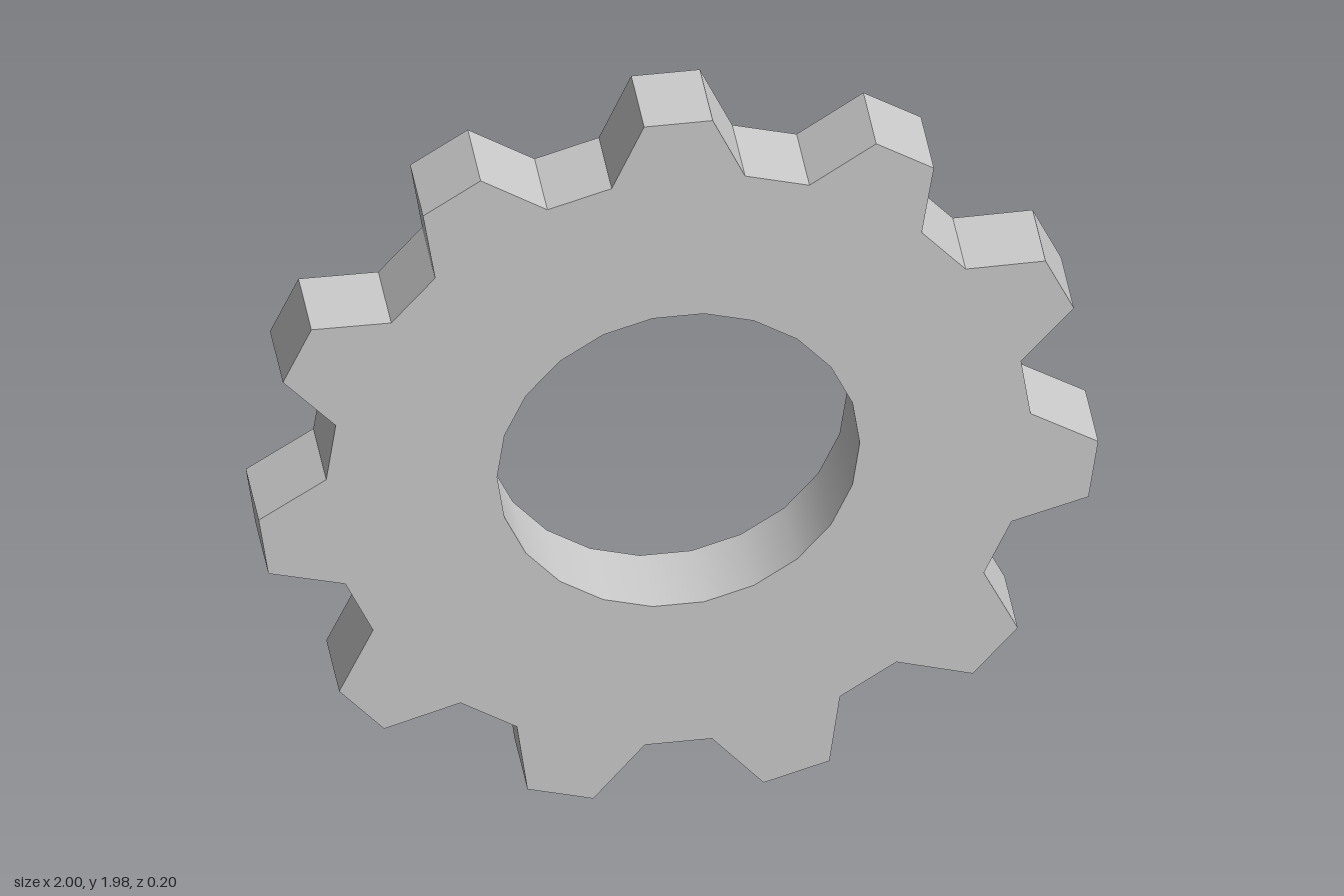
import * as THREE from 'three';

const TEETH = 11, DEPTH = 0.2, CENTER_Y = 0.981;
const TIP_R = 1.002, ROOT_R = 0.84, BORE_R = 0.432;

const polar = (r, a) => new THREE.Vector2(r * Math.cos(a), r * Math.sin(a));

export function createModel() {
  const group = new THREE.Group();
  group.name = 'gear';

  // Toothed outline: each tooth has two root and two tip corners, first tooth straight up
  const pitch = (2 * Math.PI) / TEETH;
  const outline = [];
  for (let i = 0; i < TEETH; i++) {
    const a = Math.PI / 2 + i * pitch;
    outline.push(
      polar(ROOT_R, a - pitch / 3), polar(TIP_R, a - pitch / 7),
      polar(TIP_R, a + pitch / 7), polar(ROOT_R, a + pitch / 3));
  }
  const shape = new THREE.Shape(outline);

  // Round bore with two sides per tooth
  const sides = TEETH * 2;
  const bore = [];
  for (let i = 0; i < sides; i++) bore.push(polar(BORE_R, (-i * 2 * Math.PI) / sides));
  shape.holes.push(new THREE.Path(bore));

  const geometry = new THREE.ExtrudeGeometry(shape, { depth: DEPTH, bevelEnabled: false });
  geometry.translate(0, 0, -DEPTH / 2);

  // Smooth shading inside the bore, sharp edges everywhere else
  const { position, normal } = geometry.attributes;
  for (let i = 0; i < position.count; i++) {
    const x = position.getX(i), y = position.getY(i), r = Math.hypot(x, y);
    if (r < BORE_R + 0.01 && Math.abs(normal.getZ(i)) < 0.5) normal.setXYZ(i, -x / r, -y / r, 0);
  }

  const wheel = new THREE.Mesh(geometry, new THREE.MeshStandardMaterial({ color: 0xcccccc }));
  wheel.name = 'toothedWheel';
  wheel.position.y = CENTER_Y;
  group.add(wheel);
  return group;
}
